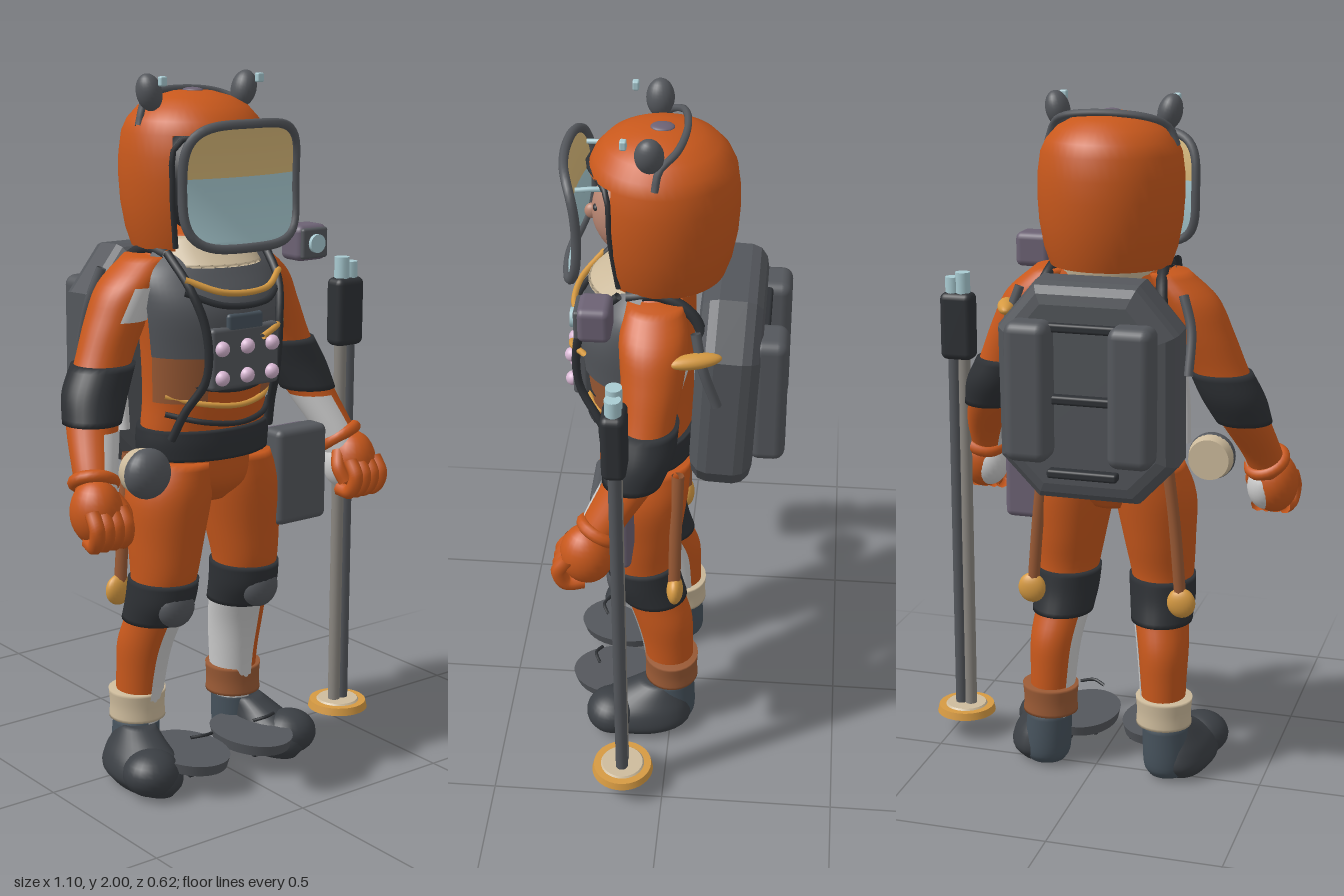
import * as THREE from 'three';
import { RoundedBoxGeometry } from 'three/addons/geometries/RoundedBoxGeometry.js';

const ORANGE = 0xc8581c, GREY = 0x54575c, DARK = 0x2e3135, BOOT = 0x3b3f44, SLATE = 0x46525c, WHITE = 0xd6d6d6,
  BEIGE = 0xcdbb9c, GOLD = 0xd69a42, VISOR_GOLD = 0xd8b878, GLASS = 0xa9cbd2, PURPLE = 0x6c6274, PINK = 0xd9b8d4,
  SKIN = 0xb98672, BROWN = 0x9a5a35;
const TAU = Math.PI * 2;
const mats = {};
const mat = (color) => (mats[color] ??= new THREE.MeshStandardMaterial({ color, side: THREE.DoubleSide }));

export function createModel() {
  const root = new THREE.Group();
  root.name = 'explorer';
  const body = new THREE.Group();
  body.name = 'suitedFigure';
  body.position.x = -0.033;
  root.add(body);

  const add = (name, geo, color, x = 0, y = 0, z = 0, parent = body) => {
    const m = new THREE.Mesh(geo, mat(color));
    m.name = name;
    m.position.set(x, y, z);
    parent.add(m);
    return m;
  };
  const ball = (name, color, p, scale) => {
    const m = add(name, new THREE.SphereGeometry(1, 24, 16), color, ...p);
    m.scale.set(...scale);
    return m;
  };
  const box = (name, color, p, size, r = 0.02) => add(name, new RoundedBoxGeometry(...size, 3, r), color, ...p);
  const tube = (name, color, pts, r, closed = false) => add(name, new THREE.TubeGeometry(
    new THREE.CatmullRomCurve3(pts.map((p) => new THREE.Vector3(...p)), closed), closed ? 80 : 24, r, 8, closed), color);

  // Skin over elliptical rings [x, y, z, rx, rz] listed upward; an angle range gives an open panel
  const loft = (name, rings, color, a0 = 0, a1 = TAU) => {
    const full = a1 - a0 > 6.28, N = 28, M = (rings.length - 1) * 5;
    const mid = new THREE.CatmullRomCurve3(rings.map((r) => new THREE.Vector3(r[0], r[1], r[2])), false, 'catmullrom');
    const rad = new THREE.CatmullRomCurve3(rings.map((r) => new THREE.Vector3(r[3], r[4], 0)), false, 'catmullrom');
    const pos = [], idx = [], W = full ? N : N + 1;
    const first = full ? -1 : 0, last = full ? M + 1 : M;
    for (let i = first; i <= last; i++) {
      const t = Math.min(Math.max(i / M, 0), 1), k = i < 0 || i > M ? 0.001 : 1;
      const c = mid.getPoint(t), r = rad.getPoint(t);
      for (let j = 0; j < W; j++) {
        const a = a0 + (a1 - a0) * j / N;
        pos.push(c.x + Math.cos(a) * r.x * k, c.y, c.z + Math.sin(a) * r.y * k);
      }
    }
    for (let i = 0; i < last - first; i++) for (let j = 0; j < N; j++) {
      const a = i * W + j, b = i * W + (j + 1) % W;
      idx.push(a, a + W, b, b, a + W, b + W);
    }
    const g = new THREE.BufferGeometry();
    g.setAttribute('position', new THREE.Float32BufferAttribute(pos, 3));
    g.setIndex(idx);
    g.computeVertexNormals();
    return add(name, g, color);
  };
  const grow = (rings, d) => rings.map(([x, y, z, a, b]) => [x, y, z, a + d, b + d]);
  const flip = (rings, s) => rings.map(([x, ...r]) => [x * s, ...r]);

  // Torso, hips, belt and vest
  const torso = [[0, 0.94, 0.075, 0.19, 0.13], [0, 1.02, 0.08, 0.195, 0.13], [0, 1.12, 0.09, 0.19, 0.14], [0, 1.25, 0.1, 0.2, 0.15],
    [0, 1.38, 0.1, 0.215, 0.155], [0, 1.47, 0.075, 0.21, 0.13], [0, 1.53, 0.05, 0.15, 0.11], [0, 1.57, 0.04, 0.11, 0.1]];
  loft('torso', torso, ORANGE);
  loft('hips', [[0, 0.82, 0.07, 0.07, 0.08], [0, 0.88, 0.08, 0.17, 0.125], [0, 0.97, 0.08, 0.195, 0.135]], ORANGE);
  loft('belt', [[0, 0.955, 0.08, 0.205, 0.142], [0, 1.0, 0.08, 0.208, 0.144], [0, 1.04, 0.08, 0.205, 0.142]], DARK);
  loft('vest', grow(torso.slice(3, 7), 0.015), GREY, 0.06 * Math.PI, 0.94 * Math.PI);
  for (const a of [0.05, 0.65]) loft('sidePanel', grow(torso.slice(2, 4), 0.008), BROWN, a * Math.PI, (a + 0.3) * Math.PI);
  loft('collar', [[0, 1.49, 0.085, 0.16, 0.155], [0, 1.53, 0.06, 0.155, 0.14], [0, 1.565, 0.05, 0.14, 0.12]], BEIGE);

  // Chest control unit with knobs, hoses and leads
  box('controlUnit', GREY, [0, 1.25, 0.255], [0.23, 0.17, 0.045], 0.012);
  box('controlTop', SLATE, [0, 1.345, 0.262], [0.12, 0.05, 0.03], 0.01);
  for (const x of [-0.085, 0, 0.085]) for (const y of [1.2, 1.28]) ball('knob', PINK, [x, y, 0.28], [0.021, 0.021, 0.021]);
  [1.07, 1.12, 1.165].forEach((y, i) => tube('waistHose', i % 2 ? GOLD : DARK,
    [[-0.18, y + 0.02, 0.15], [-0.1, y, 0.22], [0, y - 0.01, 0.245], [0.1, y, 0.22], [0.18, y + 0.02, 0.15]], 0.008));
  [1.395, 1.43].forEach((y, i) => tube('chestHose', i ? GOLD : DARK,
    [[-0.16, y + 0.035, 0.215], [-0.07, y, 0.27], [0.07, y, 0.27], [0.16, y + 0.035, 0.215]], 0.009));
  tube('goldLead', GOLD, [[0.05, 1.3, 0.285], [0.1, 1.32, 0.275], [0.15, 1.33, 0.24]], 0.009);

  // Helmet: one smooth dome with the faces of the front opening left out
  const profile = [[0.17, 1.53], [0.187, 1.58], [0.2, 1.65], [0.205, 1.72], [0.204, 1.78], [0.196, 1.84],
    [0.18, 1.875], [0.15, 1.908], [0.105, 1.932], [0.055, 1.946], [0.0001, 1.95]].map((p) => new THREE.Vector2(...p));
  const dome = new THREE.LatheGeometry(profile, 48);
  dome.setIndex([...dome.index.array].filter((_, n) => {
    const quad = Math.floor(n / 6), column = Math.floor(quad / 10);
    return quad % 10 >= 5 || (column >= 7 && column < 41);
  }));
  add('helmet', dome, ORANGE, 0, 0, 0.035);
  const rim = (a, y, r) => [Math.sin(a) * r, y, 0.035 + Math.cos(a) * r];
  tube('openingRim', DARK, [rim(-0.91, 1.54, 0.175), rim(-0.91, 1.7, 0.203), rim(-0.85, 1.82, 0.199), rim(0, 1.842, 0.195),
    rim(0.85, 1.82, 0.199), rim(0.91, 1.7, 0.203), rim(0.91, 1.54, 0.175)], 0.008);

  // Head inside the helmet
  ball('face', SKIN, [0, 1.7, 0.115], [0.1, 0.13, 0.11]);
  ball('hood', DARK, [0, 1.71, 0.07], [0.125, 0.145, 0.11]);
  ball('nose', SKIN, [0, 1.69, 0.225], [0.016, 0.022, 0.02]);
  for (const s of [-1, 1]) ball('eye', DARK, [s * 0.04, 1.725, 0.207], [0.014, 0.01, 0.01]);

  // Curved visor with a gold upper band, rounded at the corners
  const visorZ = (x, v) => 0.272 - 0.8 * x * x + 0.018 * v * v;
  const pane = (name, color, v0, v1) => {
    const g = new THREE.PlaneGeometry(2, 1, 20, 20), p = g.attributes.position;
    for (let i = 0; i < p.count; i++) {
      const v = v0 + (p.getY(i) + 0.5) * (v1 - v0);
      const x = p.getX(i) * 0.185 * Math.pow(Math.max(1 - Math.abs(v) ** 4, 0), 0.25);
      p.setXYZ(i, x, 1.71 + v * 0.16, visorZ(x, v));
    }
    g.computeVertexNormals();
    add(name, g, color);
  };
  pane('visorGlass', GLASS, -1, 0.15);
  pane('visorShade', VISOR_GOLD, 0.15, 1);
  const frame = Array.from({ length: 40 }, (_, i) => {
    const c = Math.cos(i / 40 * TAU), s = Math.sin(i / 40 * TAU);
    const v = Math.sign(s) * Math.abs(s) ** 0.5, x = 0.19 * Math.sign(c) * Math.abs(c) ** 0.5;
    return [x, 1.71 + v * 0.163, visorZ(x, v)];
  });
  tube('visorFrame', GREY, frame, 0.013, true);

  // Head band
  tube('lampBand', GREY, [[-0.185, 1.86, 0.04], [-0.165, 1.91, 0.03], [-0.12, 1.938, -0.01], [0, 1.95, -0.03],
    [0.12, 1.938, -0.01], [0.165, 1.91, 0.03], [0.185, 1.86, 0.04]], 0.01);
  ball('domeStud', PURPLE, [0, 1.948, 0.035], [0.026, 0.008, 0.032]);

  // Backpack: bevelled octagonal case leaning back a little, crossbars between two pods
  const pack = new THREE.Shape([[-0.12, 0.955], [0.12, 0.955], [0.2, 1.04], [0.2, 1.37], [0.12, 1.465], [-0.12, 1.465], [-0.2, 1.37],
    [-0.2, 1.04]].map((p) => new THREE.Vector2(...p)));
  const packGeo = new THREE.ExtrudeGeometry(pack, { depth: 0.075, bevelSize: 0.055, bevelThickness: 0.05, bevelSegments: 3 });
  packGeo.translate(0, -1.21, -0.0375);
  add('backpack', packGeo, GREY, 0, 1.21, -0.148).rotation.x = -0.05;
  for (const y of [0.99, 1.2, 1.4]) box('packBar', DARK, [0, y, -0.245], [0.2, 0.025, 0.035], 0.008);

  // Mirrored parts
  const arm = [[0.435, 0.9, 0.19, 0.05, 0.055], [0.42, 0.97, 0.16, 0.058, 0.06], [0.385, 1.07, 0.1, 0.07, 0.07], [0.352, 1.15, 0.065, 0.08, 0.075],
    [0.31, 1.25, 0.05, 0.08, 0.075], [0.265, 1.35, 0.042, 0.085, 0.085], [0.22, 1.44, 0.042, 0.085, 0.092], [0.16, 1.515, 0.042, 0.06, 0.075]];
  const leg = [[0.175, 0.16, 0, 0.06, 0.065], [0.17, 0.3, 0.01, 0.067, 0.075], [0.165, 0.4, 0.025, 0.074, 0.085], [0.15, 0.5, 0.06, 0.08, 0.088],
    [0.145, 0.6, 0.09, 0.09, 0.098], [0.135, 0.72, 0.088, 0.105, 0.115], [0.122, 0.85, 0.085, 0.118, 0.13], [0.1, 0.95, 0.08, 0.1, 0.13]];
  for (const s of [-1, 1]) {
    const side = s > 0 ? 'left' : 'right';
    const inner = s > 0 ? [0.45 * Math.PI, 1.2 * Math.PI] : [-0.2 * Math.PI, 0.55 * Math.PI];
    const A = flip(arm, s), L = flip(leg, s);
    loft(side + 'Arm', A, ORANGE);
    loft(side + 'ForearmLining', grow(A.slice(0, 3), 0.004), WHITE, ...inner);
    loft(side + 'ElbowPad', flip([[0.378, 1.085, 0.088, 0.08, 0.082], [0.35, 1.16, 0.063, 0.092, 0.088], [0.315, 1.235, 0.052, 0.09, 0.086]], s), DARK);

    // Glove with curled fingers and a pale palm
    ball(side + 'Glove', ORANGE, [s * 0.447, 0.875, 0.208], [0.07, 0.09, 0.075]);
    ball(side + 'Palm', WHITE, [s * 0.425, 0.865, 0.195], [0.055, 0.07, 0.06]);
    const cuff = add(side + 'GloveCuff', new THREE.TorusGeometry(0.053, 0.018, 10, 24), ORANGE, s * 0.43, 0.945, 0.172);
    cuff.rotation.set(Math.PI / 2 - 0.5, s * 0.3, 0);
    for (let f = 0; f < 4; f++) tube(side + 'Finger', ORANGE, [[s * (0.492 - f * 0.03), 0.89, 0.255],
      [s * (0.494 - f * 0.031), 0.845, 0.282], [s * (0.488 - f * 0.03), 0.8, 0.262], [s * (0.476 - f * 0.026), 0.798, 0.215]], 0.021);
    tube(side + 'Thumb', ORANGE, [[s * 0.395, 0.91, 0.21], [s * 0.375, 0.87, 0.235], [s * 0.385, 0.83, 0.255]], 0.02);

    // Leg with knee pad, lining and ankle cuff
    loft(side + 'Leg', L, ORANGE);
    loft(side + 'ShinLining', grow(L.slice(0, 4), 0.004), WHITE, ...inner);
    loft(side + 'KneePad', flip([[0.152, 0.475, 0.054, 0.09, 0.098], [0.148, 0.54, 0.08, 0.096, 0.106], [0.144, 0.605, 0.09, 0.098, 0.106]], s), DARK);
    ball(side + 'KneeCap', GREY, [s * 0.15, 0.535, 0.155], [0.06, 0.06, 0.04]);
    loft(side + 'AnkleCuff', flip([[0.175, 0.17, 0, 0.082, 0.08], [0.175, 0.21, 0, 0.08, 0.078], [0.175, 0.255, 0, 0.084, 0.08]], s), s > 0 ? BROWN : BEIGE);

    // Boot with rounded sole, bulky toe and instep strap
    loft(side + 'BootShaft', flip([[0.187, 0.012, 0.0, 0.055, 0.055], [0.185, 0.05, 0.0, 0.069, 0.072], [0.178, 0.18, 0.0, 0.066, 0.068]], s), SLATE);
    loft(side + 'Boot', flip([[0.225, 0.004, 0.1, 0.065, 0.125], [0.225, 0.04, 0.095, 0.09, 0.155], [0.222, 0.085, 0.09, 0.082, 0.145],
      [0.21, 0.125, 0.06, 0.062, 0.1], [0.195, 0.16, 0.03, 0.045, 0.055]], s), BOOT);
    ball(side + 'BootToe', BOOT, [s * 0.25, 0.068, 0.175], [0.082, 0.065, 0.08]);
    tube(side + 'InstepStrap', DARK, [[s * 0.075, 0.16, 0.225], [s * 0.11, 0.168, 0.24], [s * 0.15, 0.165, 0.225]], 0.005);

    // Long oval foot plate with ribs below
    add(side + 'FootPlate', new THREE.CylinderGeometry(1, 0.93, 0.032, 36), GREY, s * 0.115, 0.088, 0.165).scale.set(0.105, 1, 0.145);
    for (let i = -2; i <= 2; i++) box(side + 'PlateRib', DARK, [s * 0.115, 0.07, 0.165 + i * 0.045], [0.18 - Math.abs(i) * 0.025, 0.012, 0.014], 0.004);

    // Strut and joint behind the thigh
    tube(side + 'LegStrut', BROWN, [[s * 0.185, 0.95, -0.02], [s * 0.205, 0.78, -0.015], [s * 0.222, 0.58, -0.012]], 0.018);
    ball(side + 'StrutJoint', GOLD, [s * 0.226, 0.555, -0.014], [0.042, 0.045, 0.024]);

    // Harness, straps and hose
    tube(side + 'Harness', DARK, [[s * 0.165, 1.53, 0.14], [s * 0.15, 1.44, 0.225], [s * 0.125, 1.33, 0.262],
      [s * 0.12, 1.2, 0.258], [s * 0.15, 1.1, 0.2], [s * 0.17, 1.02, 0.165]], 0.012);
    tube(side + 'ShoulderStrap', DARK, [[s * 0.15, 1.52, 0.12], [s * 0.155, 1.53, 0.03], [s * 0.17, 1.48, -0.06], [s * 0.19, 1.38, -0.1]], 0.016);
    tube(side + 'PackStrap', GREY, [[s * 0.235, 1.47, -0.07], [s * 0.262, 1.38, -0.09], [s * 0.265, 1.26, -0.13]], 0.014);
    tube(side + 'SideHose', WHITE, [[s * 0.2, 1.36, -0.04], [s * 0.222, 1.2, 0.0], [s * 0.225, 1.03, 0.02]], 0.016);

    // Helmet lamp, visor hinge and pack pod
    ball(side + 'LampPod', GREY, [s * 0.16, 1.948, 0.055], [0.034, 0.051, 0.038]).rotation.z = s * -0.25;
    box(side + 'LampClip', GLASS, [s * 0.163, 1.98, 0.12], [0.022, 0.026, 0.018], 0.005);
    tube(side + 'VisorHinge', GLASS, [[s * 0.12, 1.825, 0.165], [s * 0.125, 1.828, 0.2], [s * 0.13, 1.825, 0.25]], 0.007);
    box(side + 'PackPod', GREY, [s * 0.145, 1.225, -0.265], [0.125, 0.39, 0.1], 0.03);
  }

  // One-sided kit
  loft('rightShoulderPatch', grow(flip(arm.slice(5, 7), -1), 0.004), WHITE, 0.3 * Math.PI, 0.65 * Math.PI);
  ball('goldShoulderLoop', GOLD, [0.275, 1.41, -0.07], [0.025, 0.02, 0.075]).rotation.y = 0.3;
  box('shoulderLamp', PURPLE, [0.27, 1.53, 0.19], [0.105, 0.1, 0.09]);
  box('shoulderLampFace', GREY, [0.27, 1.53, 0.232], [0.09, 0.085, 0.02], 0.008);
  add('shoulderLampLens', new THREE.CylinderGeometry(0.026, 0.026, 0.02, 20), GLASS, 0.27, 1.53, 0.243).rotation.x = Math.PI / 2;
  box('hipPouch', GREY, [0.265, 0.86, 0.17], [0.18, 0.28, 0.08]);
  box('hipPouchBack', PURPLE, [0.265, 0.86, 0.13], [0.165, 0.265, 0.06]);
  ball('hipCanister', GREY, [-0.265, 0.945, 0.185], [0.07, 0.07, 0.05]);
  add('hipCanisterBack', new THREE.CylinderGeometry(0.07, 0.06, 0.05, 32), BEIGE, -0.265, 0.945, 0.16).rotation.x = Math.PI / 2;

  // Standing tool: twin poles, grip, caps and gold foot
  const tool = new THREE.Group();
  tool.name = 'standingTool';
  tool.position.set(0.457, 0, 0.12);
  root.add(tool);
  [[-0.015, 0x8a8680, 1.46], [0.016, GREY, 1.445]].forEach(([x, color, top]) => {
    add('pole', new THREE.CylinderGeometry(0.018, 0.018, 1.14, 16), color, x, 0.65, 0, tool);
    add('poleCap', new THREE.CylinderGeometry(0.022, 0.022, 0.1, 16), GLASS, x, top - 0.05, 0, tool);
  });
  add('grip', new RoundedBoxGeometry(0.1, 0.2, 0.066, 3, 0.02), DARK, 0, 1.3, 0, tool);
  add('toolFoot', new THREE.CylinderGeometry(0.085, 0.09, 0.022, 36), GOLD, 0, 0.083, 0, tool);
  add('toolFootTop', new THREE.CylinderGeometry(0.06, 0.065, 0.006, 36), BEIGE, 0, 0.096, 0, tool);
  add('toolFootPad', new THREE.CylinderGeometry(0.04, 0.035, 0.012, 24), SLATE, 0, 0.068, 0, tool);
  return root;
}
